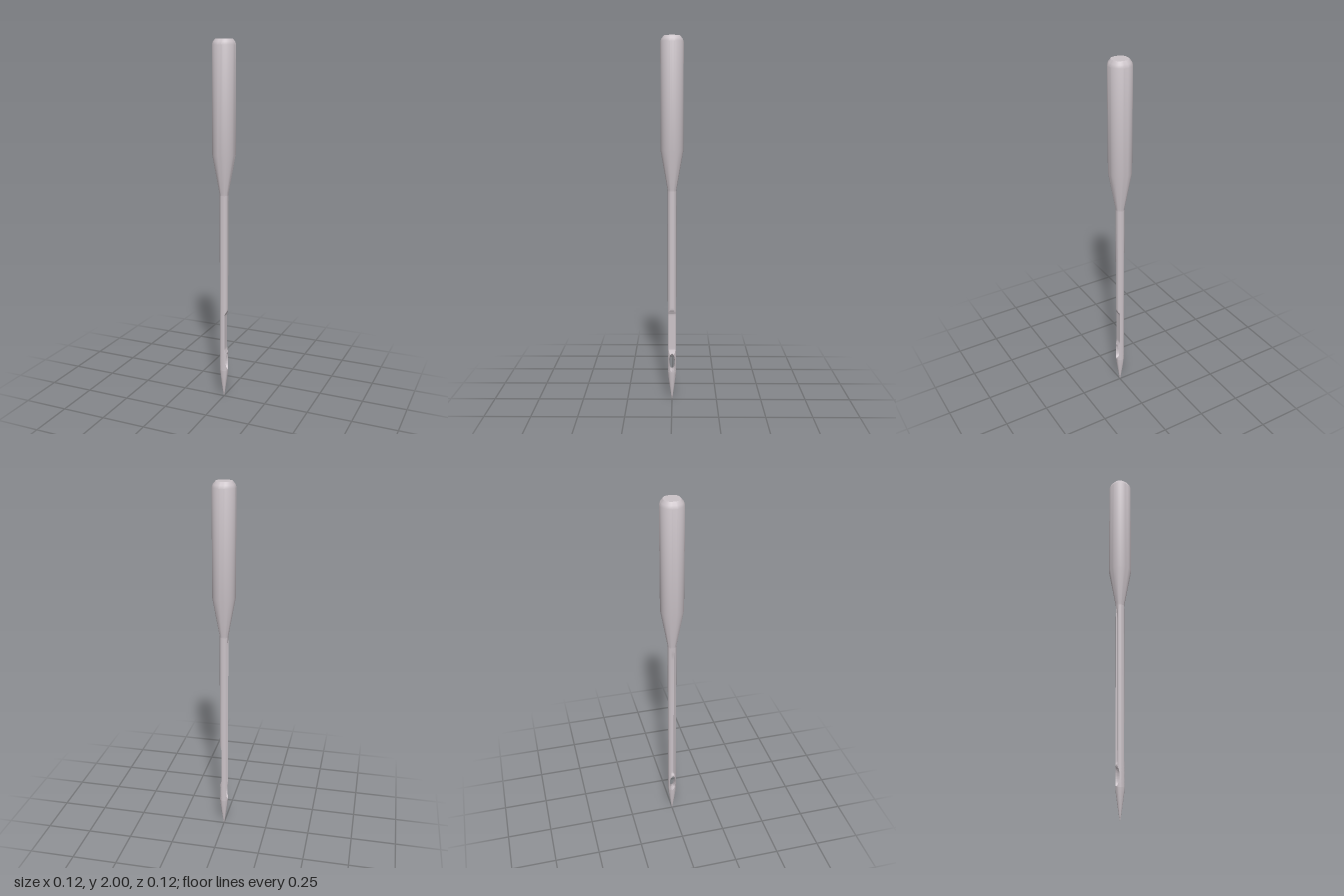
import * as THREE from 'three';
import { toCreasedNormals } from 'three/addons/utils/BufferGeometryUtils.js';

const steel = new THREE.MeshStandardMaterial({ color: 0xcbc3c8 });
const R = 0.0235; // blade radius
const { lerp, smoothstep } = THREE.MathUtils;

// Skin a stack of closed rings of [x, y, z], listed bottom to top
function loft(name, rings, capBottom = false, capTop = false) {
  const n = rings[0].length, pos = rings.flat(2), index = [];
  for (let j = 0; j < rings.length - 1; j++) {
    for (let i = 0; i < n; i++) {
      const a = j * n + i, b = j * n + (i + 1) % n;
      index.push(a, a + n, b, b, a + n, b + n);
    }
  }
  const cap = (start, up) => {
    for (let i = 1; i < n - 1; i++) {
      index.push(start, start + (up ? i + 1 : i), start + (up ? i : i + 1));
    }
  };
  if (capBottom) cap(0, false);
  if (capTop) cap((rings.length - 1) * n, true);
  const geo = new THREE.BufferGeometry();
  geo.setAttribute('position', new THREE.Float32BufferAttribute(pos, 3));
  geo.setIndex(index);
  const mesh = new THREE.Mesh(toCreasedNormals(geo, 0.42), steel);
  mesh.name = name;
  return mesh;
}

// Ring of a slightly squared circle (power 2 is round)
function ring(y, r, power = 2, sides = 40) {
  return Array.from({ length: sides }, (_, i) => {
    const a = i / sides * Math.PI * 2, c = Math.cos(a), s = Math.sin(a);
    const k = r * (Math.abs(c) ** power + Math.abs(s) ** power) ** (-1 / power);
    return [k * c, y, k * s];
  });
}

// Flat scarf on the +x side: greatest x allowed at a height
function scarf(y) {
  if (y > 0.4) return lerp(0.011, R, smoothstep(y, 0.495, 0.53));
  return lerp(R, 0.011, smoothstep(y, 0.255, 0.3));
}

// Blade ring with the long groove on the -x side and the scarf on +x
function bladeRing(y) {
  const depth = 0.01 * smoothstep(y, 0.275, 0.3) * (1 - smoothstep(y, 1.1, 1.18));
  const half = 0.38, angles = [];
  for (let i = 0; i <= 32; i++) angles.push([lerp(-Math.PI + half, Math.PI - half, i / 32), 0]);
  for (const t of [-0.75, -0.4, 0, 0.4, 0.75]) angles.push([Math.PI + t * half, 1 - 0.3 * t * t]);
  return angles.map(([a, d]) => [
    Math.min(R * Math.cos(a) + d * depth, scarf(y)), y, R * Math.sin(a),
  ]);
}

// Half width of the eye; it flares towards both outer faces
function eyeWidth(y, flare) {
  const hw = 0.013 + 0.004 * flare, hh = 0.038 + 0.014 * flare;
  const t = (y - 0.222) / hh;
  return Math.abs(t) < 1 ? hw * Math.sqrt(1 - t * t) : 0;
}

// D-shaped ring for one cheek beside the eye; side is +1 or -1 in z
function cheekRing(y, side) {
  const r = R, pts = [], edge = eyeWidth(y, 1), a0 = Math.asin(edge / r);
  for (let i = 0; i <= 20; i++) {
    const a = lerp(a0, Math.PI - a0, i / 20);
    pts.push([r * Math.cos(a), r * Math.sin(a)]);
  }
  for (let i = 1; i < 8; i++) {
    const t = lerp(-1, 1, i / 8);
    pts.push([t * r * Math.cos(a0), eyeWidth(y, t * t)]);
  }
  return pts.map(([x, z]) => [Math.min(x * side, scarf(y)), y, z * side]);
}

export function createModel() {
  const group = new THREE.Group();
  group.name = 'machineNeedle';

  // Thick shank with a bevelled top, tapering into the blade
  const shank = [
    [1.18, R, 2], [1.19, 0.0245, 2], [1.4, 0.062, 2.12],
    [1.97, 0.062, 2.12], [1.985, 0.056, 2.2], [2, 0.043, 2.45],
  ];
  group.add(loft('shank', shank.map(([y, r, p]) => ring(y, r, p)), true, true));

  // Slim blade with groove and scarf
  const heights = [];
  for (let y = 0.275; y < 0.56; y += 0.005) heights.push(y);
  heights.push(0.56, 0.8, 1.1, 1.12, 1.14, 1.16, 1.185);
  group.add(loft('blade', heights.map(bladeRing), true, true));

  // Two cheeks that leave the eye open between them
  const steps = Array.from({ length: 45 }, (_, i) => lerp(0.165, 0.275, i / 44));
  for (const side of [1, -1]) {
    group.add(loft(side > 0 ? 'eyeCheekFront' : 'eyeCheekBack',
      steps.map((y) => cheekRing(y, side)), true, true));
  }

  // Sharp point
  const point = [[0, 0.0004], [0.02, 0.0042], [0.08, 0.0135], [0.14, 0.0215], [0.165, R]];
  group.add(loft('point', point.map(([y, r]) => ring(y, r)), true, true));

  return group;
}
